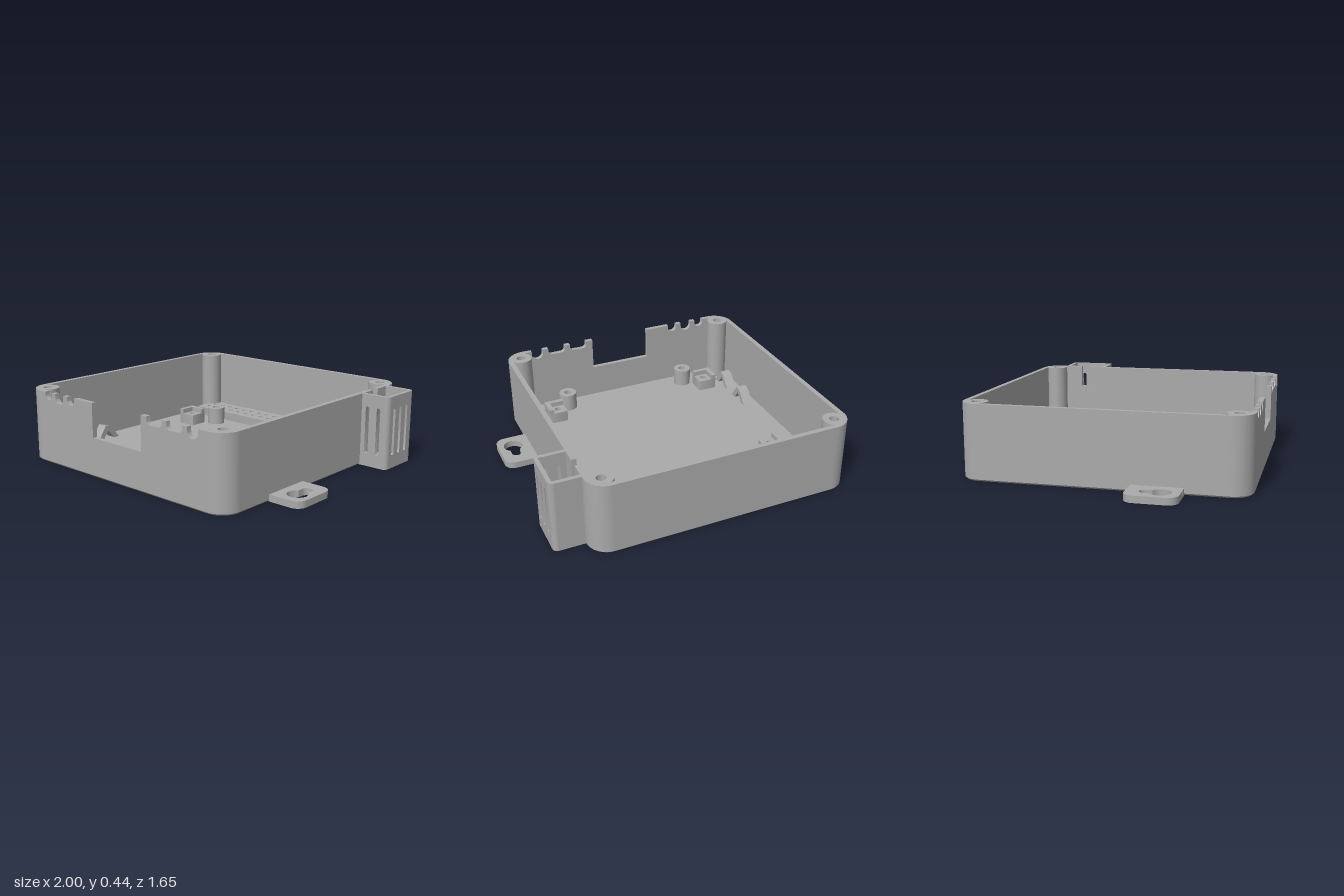
import * as THREE from 'three';
import { toCreasedNormals } from 'three/addons/utils/BufferGeometryUtils.js';

const plastic = new THREE.MeshStandardMaterial({ color: 0xaaaaaa });
plastic.name = 'grey plastic';

const W = 0.8, D = 0.825, H = 0.44, T = 0.03, R = 0.12, FLOOR = 0.03;

function createModel() {
  const model = new THREE.Group();
  model.name = 'enclosureBase';

  function add(name, geometry, x = 0, y = 0, z = 0, turn = 0) {
    const mesh = new THREE.Mesh(toCreasedNormals(geometry, 0.5), plastic);
    mesh.name = name;
    mesh.position.set(x, y, z);
    mesh.rotation.y = turn;
    model.add(mesh);
    return mesh;
  }

  // Outline drawn in (x, z), raised from y0 to y1
  function slab(shape, y0, y1) {
    const g = new THREE.ExtrudeGeometry(shape, { depth: y1 - y0, bevelEnabled: false, curveSegments: 16 });
    return g.rotateX(Math.PI / 2).translate(0, y1, 0);
  }

  function roundRect(x0, y0, x1, y1, r, Kind = THREE.Shape) {
    const s = new Kind();
    s.moveTo(x0 + r, y0);
    s.lineTo(x1 - r, y0);
    s.absarc(x1 - r, y0 + r, r, -Math.PI / 2, 0, false);
    s.absarc(x1 - r, y1 - r, r, 0, Math.PI / 2, false);
    s.absarc(x0 + r, y1 - r, r, Math.PI / 2, Math.PI, false);
    s.absarc(x0 + r, y0 + r, r, Math.PI, Math.PI * 1.5, false);
    return s;
  }

  function circle(x, y, r, Kind = THREE.Path) {
    const s = new Kind();
    s.absarc(x, y, r, 0, Math.PI * 2, false);
    return s;
  }

  // Upright wall with notches [u0, u1, bottom, radius] in its top edge and vertical slots
  function panel(length, y0, thick, notches = [], slots = []) {
    const s = new THREE.Shape();
    s.moveTo(-length / 2, y0);
    s.lineTo(length / 2, y0);
    s.lineTo(length / 2, H);
    for (const [u0, u1, b, r] of [...notches].reverse()) {
      s.lineTo(u1, H);
      if (r) {
        s.absarc(u1 - r, b + r, r, 0, -Math.PI / 2, true);
        s.absarc(u0 + r, b + r, r, -Math.PI / 2, -Math.PI, true);
      } else {
        s.lineTo(u1, b);
        s.lineTo(u0, b);
      }
      s.lineTo(u0, H);
    }
    s.lineTo(-length / 2, H);
    for (const u of slots) s.holes.push(roundRect(u - 0.012, 0.08, u + 0.012, 0.365, 0.008, THREE.Path));
    const g = new THREE.ExtrudeGeometry(s, { depth: thick, bevelEnabled: false, curveSegments: 10 });
    return g.translate(0, 0, -thick);
  }

  // Quarter ring joining two walls
  function corner(outer, inner, y0) {
    const s = new THREE.Shape();
    s.absarc(0, 0, outer, 0, Math.PI / 2, false);
    s.absarc(0, 0, inner, Math.PI / 2, 0, true);
    return slab(s, y0, H);
  }

  // Floor with a small chamfer under its edge
  const c = 0.01;
  const floor = new THREE.ExtrudeGeometry(roundRect(-W + c, -D + c, W - c, D - c, R - c), {
    depth: FLOOR - 2 * c, bevelThickness: c, bevelSize: c, bevelSegments: 1, curveSegments: 16,
  });
  add('floor', floor.rotateX(Math.PI / 2).translate(0, FLOOR - c, 0));

  // Four walls: the front has cable notches, the right a slit into the side pocket
  const frontNotches = [
    [-0.625, -0.565, 0.395, 0.028], [-0.532, -0.458, 0.383, 0.036], [-0.422, -0.36, 0.393, 0.03],
    [-0.2, 0.2, 0.235, 0],
    [0.245, 0.36, 0.395, 0.025], [0.395, 0.51, 0.395, 0.025], [0.547, 0.623, 0.38, 0.037],
  ];
  const lenX = 2 * (W - R), lenZ = 2 * (D - R);
  add('frontWall', panel(lenX, c, T, frontNotches), 0, 0, D);
  add('backWall', panel(lenX, c, T), 0, 0, -D, Math.PI);
  add('leftWall', panel(lenZ, c, T, [[0.52, 0.575, 0.3, 0]]), W, 0, 0, Math.PI / 2);
  add('rightWall', panel(lenZ, c, T), -W, 0, 0, -Math.PI / 2);

  // Wall corners and screw posts
  const quadrants = [[1, 1], [-1, 1], [-1, -1], [1, -1]];
  quadrants.forEach(([sx, sz], k) => {
    add('wallCorner', corner(R, R - T, c), sx * (W - R), 0, sz * (D - R), -k * Math.PI / 2);
    const post = circle(0, 0, 0.068, THREE.Shape);
    post.holes.push(circle(0, 0, 0.028));
    add('cornerScrewPost', slab(post, FLOOR, H), sx * 0.712, 0, sz * 0.738);
  });

  // Round and square board supports
  for (const sx of [-1, 1]) {
    for (const z of [-0.47, 0.7]) {
      const ring = circle(0, 0, 0.057, THREE.Shape);
      ring.holes.push(circle(0, 0, 0.023));
      add('roundStandoff', slab(ring, FLOOR, 0.14), sx * 0.425, 0, z);
    }
    for (const [z, sz] of [[-0.358, -1], [0.59, 1]]) {
      const base = roundRect(-0.06, -0.06, 0.06, 0.06, 0.001);
      base.holes.push(circle(-sx * 0.01, -sz * 0.01, 0.019));
      add('squareStandoff', slab(base, FLOOR, 0.1), sx * 0.546, 0, z);
      // Raised lip on the two outer sides
      add('standoffLip', new THREE.BoxGeometry(0.03, 0.03, 0.12), sx * 0.591, 0.115, z);
      add('standoffLip', new THREE.BoxGeometry(0.09, 0.03, 0.03), sx * 0.531, 0.115, z + sz * 0.045);
    }
    // Arched cable clips
    for (const z of [0.22, 0.462]) {
      const arch = new THREE.Shape();
      [[0, 0.03], [0.07, 0.11], [0.11, 0.12], [0.172, 0.03], [0.13, 0.03], [0.09, 0.085], [0.04, 0.03]]
        .forEach(([u, y], i) => (i ? arch.lineTo(-u, y) : arch.moveTo(-u, y)));
      const g = new THREE.ExtrudeGeometry(arch, { depth: 0.066, bevelEnabled: false });
      add('cableClip', g.translate(0, 0, -0.033), sx * 0.7, 0, z, Math.PI / 2);
    }
  }

  // Perforated terminal block
  const block = roundRect(-0.69, -0.76, -0.03, -0.565, 0.02);
  for (let i = 0; i < 9; i++)
    for (const z of [-0.7, -0.632]) block.holes.push(circle(-0.632 + i * 0.068, z, 0.016));
  add('terminalBlock', slab(block, FLOOR, 0.085));

  // Mounting ears with keyholes
  for (const sx of [-1, 1]) {
    const ear = roundRect(-0.1, 0.17, 0.1, 0.465, 0.06);
    // Square the inner end where it meets the body
    const inner = roundRect(-0.1, 0.17, -0.035, 0.465, 0.001);
    const key = new THREE.Path();
    const a = Math.asin(0.03 / 0.058);
    key.absarc(0.008, 0.36, 0.058, -Math.PI / 2 + a, Math.PI * 1.5 - a, false);
    key.absarc(0.008, 0.275, 0.03, Math.PI, Math.PI * 2, false);
    ear.holes.push(key);
    const turn = sx > 0 ? 0 : Math.PI;
    const dz = sx > 0 ? 0 : 0.635;
    // The far ear is turned about, so its keyhole is mirrored in z
    if (sx < 0) {
      const flipped = new THREE.Path();
      flipped.setFromPoints(key.getPoints(16).map((p) => new THREE.Vector2(p.x, 0.635 - p.y)));
      ear.holes[0] = flipped;
    }
    add('mountingEar', slab(ear, 0, 0.04), sx * 0.9, 0, dz, turn);
    for (const [z0, z1] of [[0.17, 0.24], [0.395, 0.465]]) {
      const g = new THREE.BoxGeometry(0.06, 0.04, z1 - z0);
      add('earRoot', g, sx * 0.825, 0.02, (z0 + z1) / 2);
    }
  }

  // Open side pocket with ventilation slots
  const px = 0.98, z0 = -0.69, z1 = -0.405, r = 0.03, t = 0.024, zc = (z0 + z1) / 2;
  const pocketFloor = new THREE.Shape();
  pocketFloor.moveTo(0.78, z0);
  pocketFloor.lineTo(px - r, z0);
  pocketFloor.absarc(px - r, z0 + r, r, -Math.PI / 2, 0, false);
  pocketFloor.absarc(px - r, z1 - r, r, 0, Math.PI / 2, false);
  pocketFloor.lineTo(0.78, z1);
  add('pocketFloor', slab(pocketFloor, 0, FLOOR));
  const sideLen = px - r - 0.79, sideX = (px - r + 0.79) / 2;
  add('pocketSide', panel(z1 - z0 - 2 * r, 0, t, [], [-0.072, -0.005, 0.063]), px, 0, zc, Math.PI / 2);
  add('pocketFront', panel(sideLen, 0, t, [], [-0.03, 0.045]), sideX, 0, z1);
  add('pocketBack', panel(sideLen, 0, t), sideX, 0, z0, Math.PI);
  add('pocketCorner', corner(r, r - t, 0), px - r, 0, z1 - r);
  add('pocketCorner', corner(r, r - t, 0), px - r, 0, z0 + r, Math.PI / 2);

  return model;
}

export { createModel };
